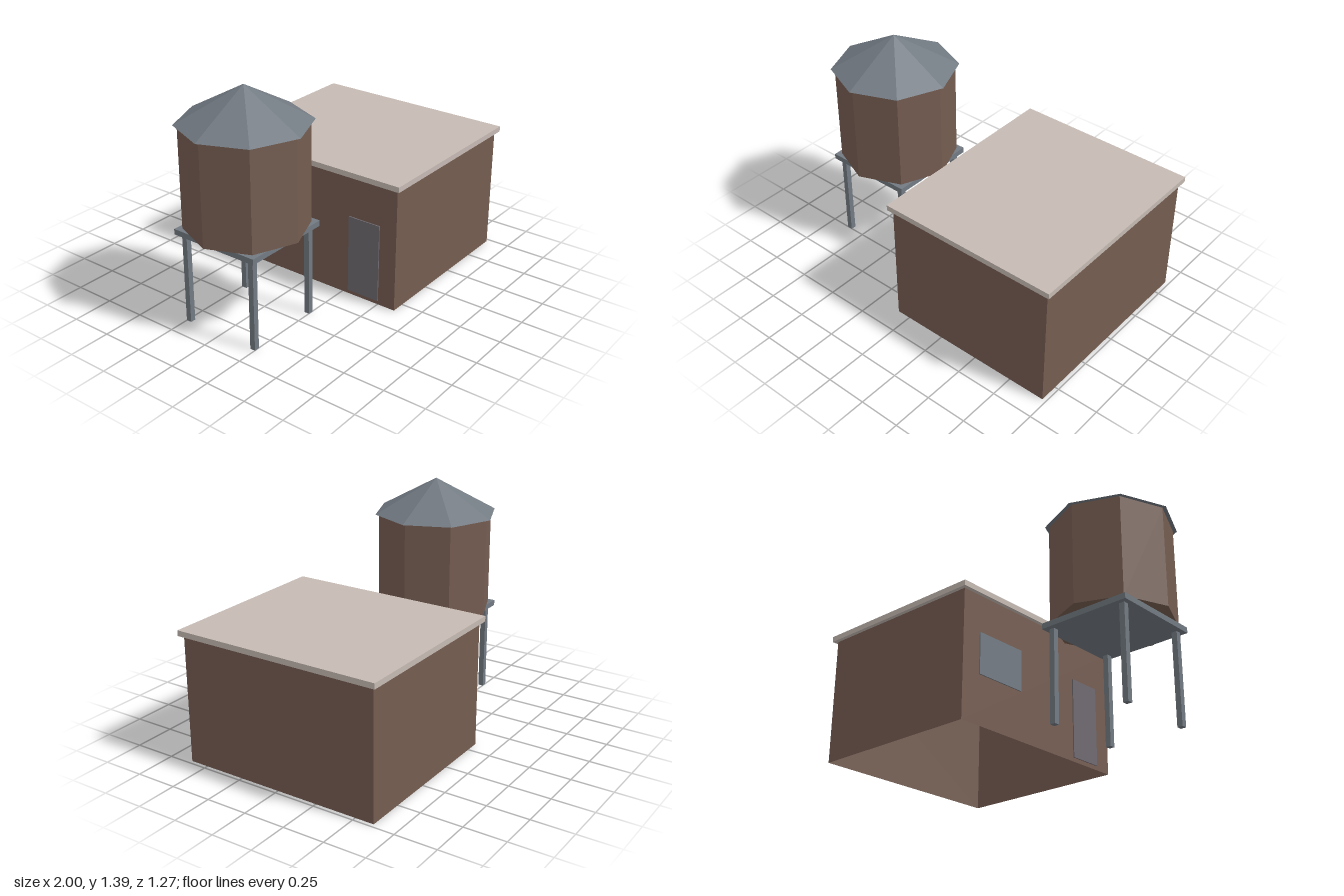
import * as THREE from 'three';

export function createModel() {
  const model = new THREE.Group();
  const mat = (name, color, extra = {}) => {
    const m = new THREE.MeshStandardMaterial({ color, flatShading: true, ...extra });
    m.name = name;
    return m;
  };
  const brown = mat('brownWood', 0x755d51);
  const wall = brown;
  wall.side = THREE.DoubleSide;
  const beige = mat('paleRoof', 0xc6bab3);
  const grey = mat('greyMetal', 0x727a82);
  const doorGrey = mat('doorGrey', 0x706a71);

  const add = (parent, name, geometry, material, x, y, z) => {
    const mesh = new THREE.Mesh(geometry, material);
    mesh.name = name;
    mesh.position.set(x, y, z);
    parent.add(mesh);
    return mesh;
  };
  const box = (w, h, d) => new THREE.BoxGeometry(w, h, d);

  // House: four thin walls, open underneath, below a flat overhanging slab
  const house = new THREE.Group();
  house.name = 'house';
  house.position.x = 0.446;
  model.add(house);
  const W = 1.06, H = 0.757, D = 1.226;
  for (let i = 0; i < 4; i++) {
    const alongX = i % 2 === 0;
    const angle = (i * Math.PI) / 2;
    const offset = (alongX ? D : W) / 2;
    const panel = add(house, 'wall', new THREE.PlaneGeometry(alongX ? W : D, H), wall,
      Math.sin(angle) * offset, H / 2, Math.cos(angle) * offset);
    panel.rotation.y = angle;
  }
  add(house, 'flatRoof', box(1.108, 0.033, 1.272), beige, 0, 0.7735, 0);

  // Window and door on the side facing the tower
  add(house, 'window', box(0.008, 0.245, 0.33), grey, -W / 2 - 0.003, 0.412, -0.325);
  add(house, 'door', box(0.008, 0.48, 0.21), doorGrey, -W / 2 - 0.003, 0.265, 0.397);

  // Water tower: eight-sided tank and cone on a square platform with four legs
  const tower = new THREE.Group();
  tower.name = 'waterTower';
  tower.position.x = -0.625;
  model.add(tower);
  add(tower, 'tank', new THREE.CylinderGeometry(0.352, 0.352, 0.6, 8), brown, 0, 0.88, 0);
  add(tower, 'tankRoof', new THREE.ConeGeometry(0.375, 0.21, 8), grey, 0, 1.285, 0);
  add(tower, 'platform', box(0.56, 0.033, 0.56), grey, 0, 0.5615, 0);
  for (const sx of [-1, 1]) {
    for (const sz of [-1, 1]) {
      add(tower, 'leg', box(0.033, 0.545, 0.033), grey, sx * 0.235, 0.2725, sz * 0.235);
    }
  }
  return model;
}
